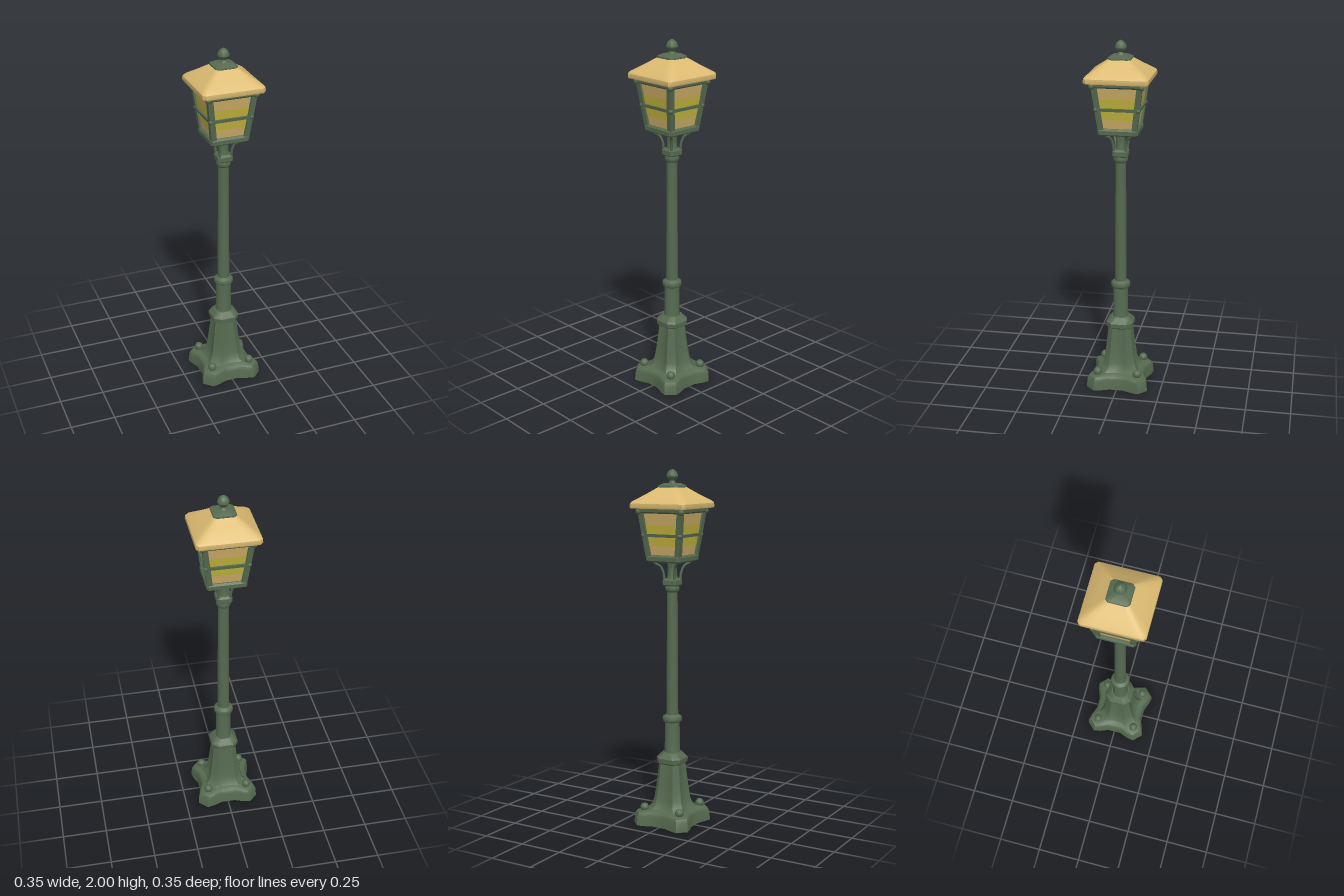
import * as THREE from 'three';
import { toCreasedNormals } from 'three/addons/utils/BufferGeometryUtils.js';

const paint = (name, color) => {
  const m = new THREE.MeshStandardMaterial({ color });
  m.name = name;
  return m;
};

// Square ring of half width h: corners cut by c, middle of each side drawn in by dent
function ring(h, c, dent = 0) {
  const s = h - c;
  const side = [[h, -s], [h - dent * 0.3, -s * 0.7], [h - dent, -s * 0.3],
    [h - dent, s * 0.3], [h - dent * 0.3, s * 0.7], [h, s]];
  const pts = [];
  for (let k = 0; k < 4; k++) {
    const cos = [1, 0, -1, 0][k], sin = [0, 1, 0, -1][k];
    for (const [x, z] of side) pts.push([x * cos - z * sin, x * sin + z * cos]);
  }
  return pts;
}

// Stack of rings, each given as [y, h, c, dent], joined from the bottom up
function loft(sections, capped = true, crease = 0.6) {
  const rings = sections.map(([y, h, c, d]) => ring(h, c, d).map(([x, z]) => [x, y, z]));
  const pos = [], n = rings[0].length, last = rings.length - 1;
  const tri = (a, b, c) => pos.push(...a, ...b, ...c);
  for (let j = 0; j < n; j++) {
    const k = (j + 1) % n;
    for (let i = 0; i < last; i++) {
      const a = rings[i], b = rings[i + 1];
      tri(a[j], b[j], a[k]);
      tri(b[j], b[k], a[k]);
    }
    if (capped) {
      tri([0, sections[0][0], 0], rings[0][j], rings[0][k]);
      tri([0, sections[last][0], 0], rings[last][k], rings[last][j]);
    }
  }
  const g = new THREE.BufferGeometry();
  g.setAttribute('position', new THREE.Float32BufferAttribute(pos, 3));
  return toCreasedNormals(g, crease);
}

const lathe = (profile, segments = 16) => toCreasedNormals(
  new THREE.LatheGeometry(profile.map(([r, y]) => new THREE.Vector2(r, y)), segments), 0.6);

export function createModel() {
  const green = paint('greenIron', 0x566a50);
  green.side = THREE.DoubleSide;
  const sand = paint('sandRoof', 0xdcbb72);
  const tan = paint('tanGlass', 0xcaab66);
  const yellow = paint('yellowGlow', 0xc0b23c);

  const model = new THREE.Group();
  model.name = 'streetLamp';
  const add = (name, geometry, material, parent = model) => {
    const m = new THREE.Mesh(geometry, material);
    m.name = name;
    parent.add(m);
    return m;
  };

  // Hollow foot and flared pedestal
  add('foot', loft([
    [0, 0.177, 0.048, 0.028], [0.055, 0.172, 0.046, 0.028], [0.072, 0.165, 0.045, 0.026],
    [0.08, 0.152, 0.044, 0.022], [0.088, 0.118, 0.044, 0.012],
  ], false), green);
  add('pedestal', loft([
    [0.086, 0.118, 0.044, 0.012], [0.105, 0.1, 0.04, 0.01], [0.14, 0.089, 0.036, 0.009],
    [0.22, 0.078, 0.032, 0.008], [0.35, 0.064, 0.026, 0.006],
  ], false), green);
  add('pedestalCollar', loft([
    [0.345, 0.062, 0.026], [0.355, 0.075, 0.032], [0.38, 0.077, 0.032],
    [0.393, 0.067, 0.028], [0.412, 0.05, 0.025],
  ]), green);

  // Round bolts on the foot corners
  for (const x of [-1, 1]) for (const z of [-1, 1]) {
    const bolt = add('footBolt', new THREE.SphereGeometry(0.025, 12, 8), green);
    bolt.position.set(x * 0.115, 0.096, z * 0.115);
  }

  // Post with its rings
  add('lowerPost', lathe([[0.048, 0.4], [0.044, 0.43], [0.042, 0.6]]), green);
  add('postRing', lathe([[0.042, 0.585], [0.053, 0.593], [0.056, 0.605], [0.053, 0.618], [0.032, 0.632]]), green);
  add('upperPost', lathe([[0.034, 0.62], [0.033, 0.8], [0.03, 1.35]]), green);
  add('neckRing', lathe([[0.03, 1.325], [0.039, 1.335], [0.041, 1.35], [0.036, 1.365]]), green);
  add('neckBlock', loft([[1.36, 0.036, 0.01], [1.367, 0.044, 0.011], [1.392, 0.044, 0.011], [1.402, 0.034, 0.01]]), green);
  add('neck', lathe([[0.032, 1.395], [0.027, 1.42], [0.026, 1.47], [0.036, 1.51]]), green);

  // Curved brackets under the lantern
  for (let i = 0; i < 4; i++) {
    const curve = new THREE.CatmullRomCurve3([[0.046, 1.395], [0.05, 1.43], [0.068, 1.47], [0.096, 1.487], [0.116, 1.505]]
      .map(([r, y]) => new THREE.Vector3(r, y, 0)));
    const bracket = add('bracket', new THREE.TubeGeometry(curve, 14, 0.0075, 6), green);
    bracket.rotation.y = Math.PI / 4 + i * Math.PI / 2;
  }

  // Lantern: tapered glass, with a glowing band just proud of it
  const lantern = new THREE.Group();
  lantern.name = 'lantern';
  model.add(lantern);
  const half = (y) => 0.103 + (y - 1.52) * 0.13;
  const slab = (y0, y1, out, c = 0.006) => loft([[y0, half(y0) + out, c], [y1, half(y1) + out, c]]);
  add('glass', slab(1.52, 1.77, -0.01), tan, lantern);
  const band = [[1.585, -0.008, 0.006], [1.7, -0.008, 0.006]];
  add('glowBand', loft(band.map(([y, o, c]) => [y, half(y) + o, c]), false), yellow, lantern);
  add('lanternFloor', loft([[1.495, 0.098, 0.012], [1.503, 0.11, 0.012], [1.525, 0.111, 0.012], [1.535, 0.102, 0.01]]), green, lantern);
  add('middleBar', slab(1.634, 1.65, 0.005), green, lantern);
  add('topBar', loft([[1.762, 0.136, 0.01], [1.77, 0.145, 0.01], [1.792, 0.147, 0.01]]), green, lantern);

  // Leaning corner posts and their studs
  const up = new THREE.Vector3(0, 1, 0);
  for (const x of [-1, 1]) for (const z of [-1, 1]) {
    const corner = (y) => new THREE.Vector3(x * (half(y) - 0.012), y, z * (half(y) - 0.012));
    const a = corner(1.515), b = corner(1.78), dir = b.clone().sub(a);
    const post = add('cornerPost', new THREE.BoxGeometry(0.03, dir.length(), 0.03), green, lantern);
    post.position.copy(a).add(b).multiplyScalar(0.5);
    post.quaternion.setFromUnitVectors(up, dir.normalize());
    for (const [y, r, out] of [[1.642, 0.014, 0.008], [1.772, 0.018, 0.012]]) {
      const stud = add('cornerStud', new THREE.SphereGeometry(r, 10, 8), green, lantern);
      stud.position.set(x * (half(y) - 0.008 + out * 0.5), y, z * (half(y) - 0.008 + out * 0.5));
    }
  }

  // Hipped roof, cap and finial
  add('roof', loft([[1.788, 0.172, 0.014], [1.795, 0.175, 0.015], [1.815, 0.174, 0.015], [1.825, 0.166, 0.014],
    [1.865, 0.108, 0.011], [1.903, 0.058, 0.01]]), sand);
  add('roofCap', loft([[1.897, 0.06, 0.014], [1.902, 0.063, 0.015], [1.91, 0.062, 0.015], [1.922, 0.04, 0.012]]), green);
  add('finial', lathe([[0.026, 1.918], [0.018, 1.926], [0.015, 1.936], [0.024, 1.945], [0.032, 1.958],
    [0.031, 1.97], [0.024, 1.984], [0.012, 1.994], [0, 2]]), green);

  return model;
}
